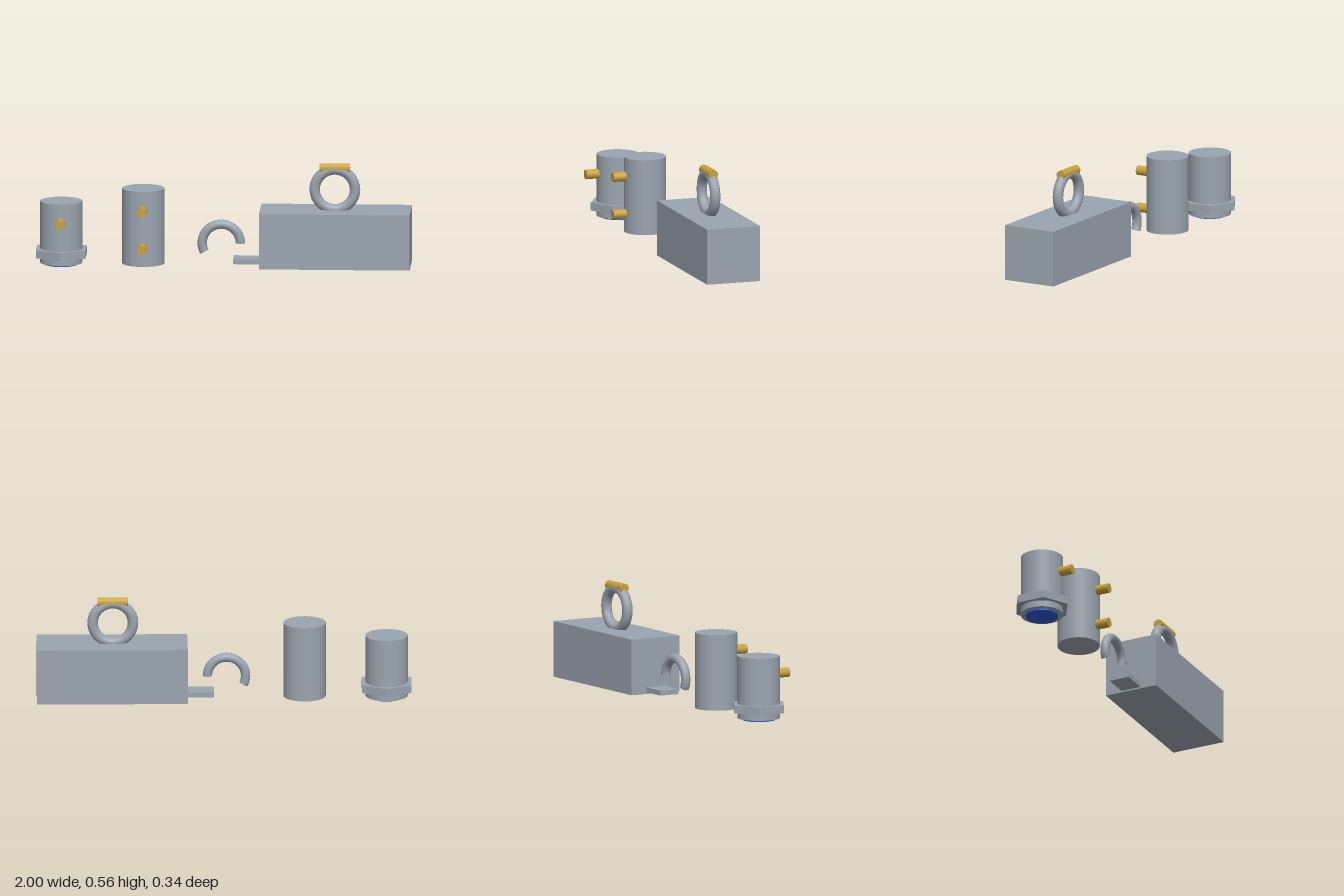
import * as THREE from 'three';

const steel = new THREE.MeshStandardMaterial({ color: 0x9aa4af, side: THREE.DoubleSide });
steel.name = 'steel';
const brass = new THREE.MeshStandardMaterial({ color: 0xc9a23c });
brass.name = 'brass';
const blue = new THREE.MeshStandardMaterial({ color: 0x2d58cc });
blue.name = 'blue';

const Z = -0.013; // all parts share one centre line

export function createModel() {
  const model = new THREE.Group();
  model.name = 'hardwareSet';

  const add = (parent, name, geometry, material, x, y, z = Z) => {
    const mesh = new THREE.Mesh(geometry, material);
    mesh.name = name;
    mesh.position.set(x, y, z);
    parent.add(mesh);
    return mesh;
  };
  const group = (name) => {
    const g = new THREE.Group();
    g.name = name;
    model.add(g);
    return g;
  };
  // Upright cylinder between two heights
  const post = (parent, name, material, x, y0, y1, r, sides = 32) =>
    add(parent, name, new THREE.CylinderGeometry(r, r, y1 - y0, sides), material, x, (y0 + y1) / 2);
  // Brass pin pointing forward
  const pin = (parent, x, y) => {
    const geometry = new THREE.CylinderGeometry(0.026, 0.026, 0.08, 12).rotateX(Math.PI / 2);
    add(parent, 'pin', geometry, brass, x, y, 0.13);
  };

  // Sensor with hexagonal collar and blue lens underneath
  const sensor = group('sensor');
  post(sensor, 'sensorBody', steel, -0.868, 0.01, 0.345, 0.113);
  const collar = post(sensor, 'hexCollar', steel, -0.868, 0.045, 0.088, 0.153, 6);
  collar.geometry = collar.geometry.toNonIndexed();
  collar.geometry.computeVertexNormals();
  post(sensor, 'lens', blue, -0.868, 0, 0.012, 0.087);
  pin(sensor, -0.868, 0.243);

  // Plain cylinder with two pins
  const cylinder = group('cylinder');
  post(cylinder, 'cylinderBody', steel, -0.43, 0.01, 0.418, 0.113);
  for (const y of [0.112, 0.315]) pin(cylinder, -0.43, y);

  // Open hook
  add(model, 'hook', new THREE.TorusGeometry(0.102, 0.025, 12, 32, Math.PI * 1.15), steel, -0.013, 0.123);

  // Block with side tongue, lifting ring and brass grip
  const block = group('block');
  add(block, 'blockBody', new THREE.BoxGeometry(0.805, 0.3, 0.3), steel, 0.5975, 0.16);
  add(block, 'tongue', new THREE.BoxGeometry(0.145, 0.027, 0.113), steel, 0.126, 0.032);
  add(block, 'ring', new THREE.TorusGeometry(0.108, 0.028, 12, 32), steel, 0.594, 0.42);
  const grip = new THREE.CylinderGeometry(0.027, 0.027, 0.162, 8).rotateZ(Math.PI / 2);
  add(block, 'grip', grip, brass, 0.594, 0.534);

  return model;
}
